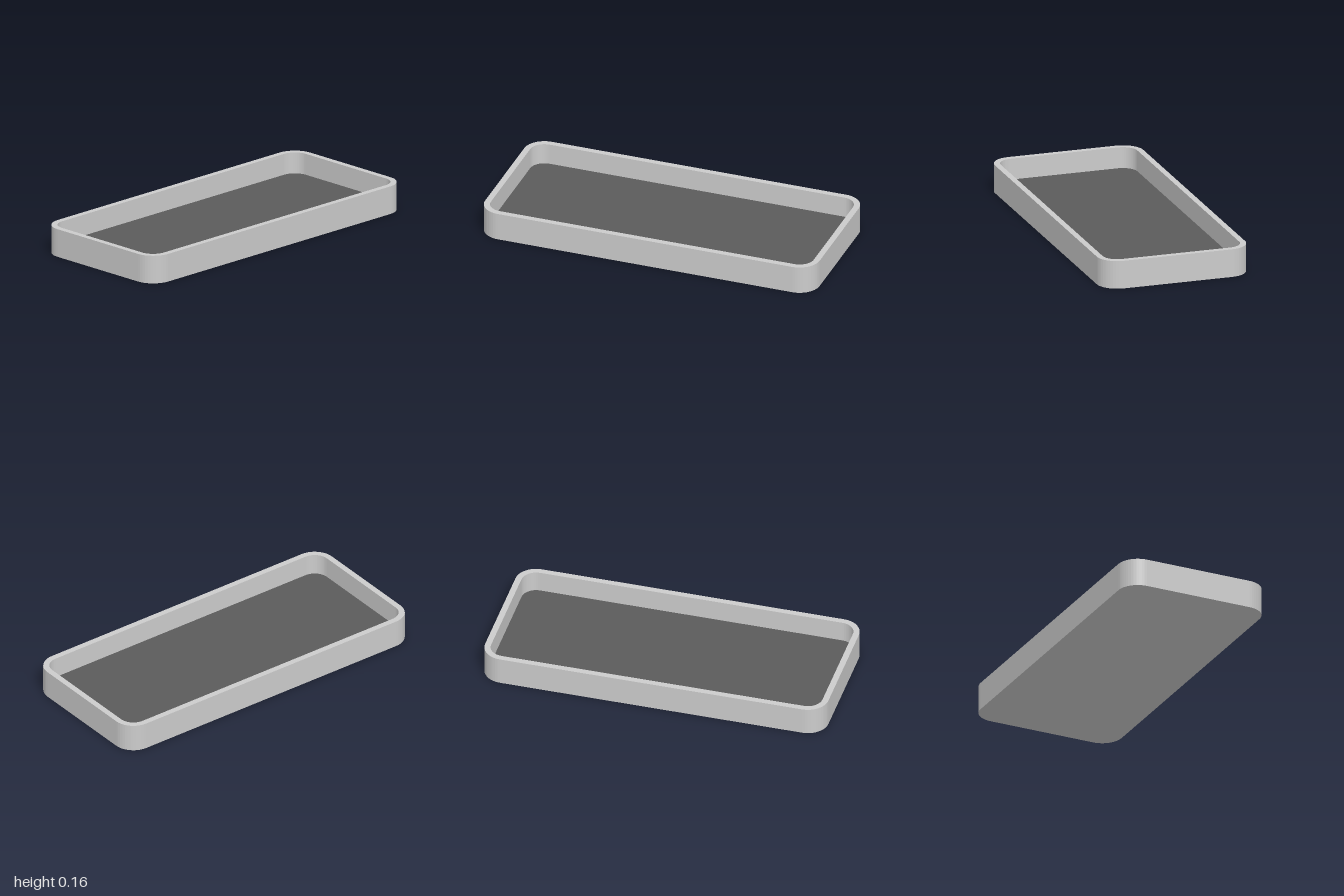
import * as THREE from 'three';

const HALF_X = 1, HALF_Z = 0.44, HEIGHT = 0.163, WALL = 0.035, FLOOR = 0.04, RADIUS = 0.12;
const STEPS = 12; // segments per rounded corner

// Rounded rectangle at height y, pulled in from the outer outline by inset
function outline(inset, y) {
  const points = [];
  const r = RADIUS - inset;
  const corners = [[1, 1], [-1, 1], [-1, -1], [1, -1]];
  corners.forEach(([sx, sz], k) => {
    for (let i = 0; i <= STEPS; i++) {
      const a = (k + i / STEPS) * Math.PI / 2;
      points.push(new THREE.Vector3(
        sx * (HALF_X - RADIUS) + r * Math.cos(a), y,
        sz * (HALF_Z - RADIUS) + r * Math.sin(a)));
    }
  });
  return points;
}

// Ring collapsed to the centre, used to close a surface
const centre = (y) => outline(0, y).map(() => new THREE.Vector3(0, y, 0));

// Joins successive rings with flat-shaded faces
function loft(rings) {
  const verts = [];
  const tri = (a, b, c) => {
    if (!a.equals(b) && !b.equals(c) && !c.equals(a)) verts.push(a, b, c);
  };
  for (let r = 0; r < rings.length - 1; r++) {
    const p = rings[r], q = rings[r + 1];
    for (let i = 0; i < p.length; i++) {
      const j = (i + 1) % p.length;
      tri(p[i], q[i], q[j]);
      tri(p[i], q[j], p[j]);
    }
  }
  const geometry = new THREE.BufferGeometry().setFromPoints(verts);
  geometry.computeVertexNormals();
  return geometry;
}

export function createModel() {
  const group = new THREE.Group();
  group.name = 'tray';

  // Underside, outer wall, rim and inner wall
  const shell = new THREE.Mesh(
    loft([centre(0), outline(0, 0), outline(0, HEIGHT), outline(WALL, HEIGHT), outline(WALL, FLOOR)]),
    new THREE.MeshStandardMaterial({ color: 0xcccccc }));
  shell.name = 'trayShell';
  group.add(shell);

  // Dark floor inside the tray
  const floor = new THREE.Mesh(
    loft([outline(WALL, FLOOR), centre(FLOOR)]),
    new THREE.MeshStandardMaterial({ color: 0x5b5b5b }));
  floor.name = 'trayFloor';
  group.add(floor);

  return group;
}
